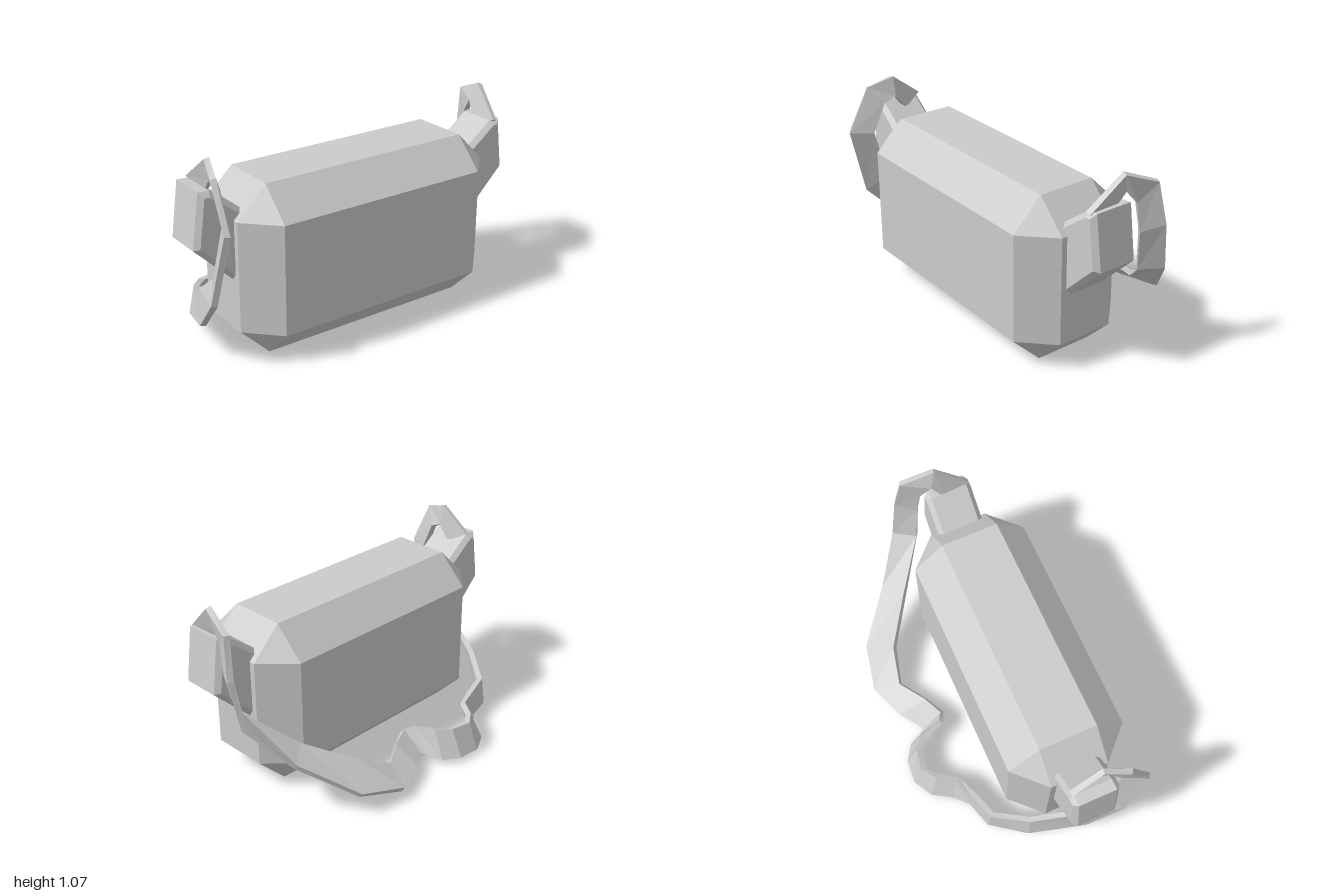
import * as THREE from 'three';
import { ConvexGeometry } from 'three/addons/geometries/ConvexGeometry.js';

const material = new THREE.MeshStandardMaterial({ color: 0xcccccc, flatShading: true });

function addMesh(parent, geometry, name) {
  const mesh = new THREE.Mesh(geometry, material);
  mesh.name = name;
  parent.add(mesh);
  return mesh;
}

// Box with every edge and corner cut at 45 degrees, standing on y = 0
function chamferedBox(hx, hy, hz, cut) {
  const points = [];
  for (const sx of [-1, 1]) for (const sy of [-1, 1]) for (const sz of [-1, 1]) {
    for (let axis = 0; axis < 3; axis++) {
      const p = [hx, hy, hz].map((h, i) => (i === axis ? h : h - cut));
      points.push(new THREE.Vector3(sx * p[0], hy + sy * p[1], sz * p[2]));
    }
  }
  return new ConvexGeometry(points);
}

// End pouch: side profile extruded across the bag with a single bevel
function pouchGeometry() {
  const profile = [[0.62, 0.72], [0.87, 0.91], [0.93, 0.915], [0.968, 0.63], [0.76, 0.425], [0.66, 0.425]];
  const shape = new THREE.Shape(profile.map(([x, y]) => new THREE.Vector2(x, y)));
  const bevel = 0.025, width = 0.25;
  const geometry = new THREE.ExtrudeGeometry(shape, {
    depth: width - 2 * bevel, bevelEnabled: true, bevelSegments: 1,
    bevelSize: bevel, bevelThickness: bevel, bevelOffset: -bevel,
  });
  return geometry.translate(0, 0, bevel - width / 2);
}

// Flat band lofted through rows of [inner edge xyz, outer edge xyz]
function bandGeometry(rows, thickness) {
  const edges = rows.map((r) => [new THREE.Vector3(...r.slice(0, 3)), new THREE.Vector3(...r.slice(3))]);
  const mids = edges.map(([a, b]) => a.clone().add(b).multiplyScalar(0.5));
  const positions = [], index = [];
  const last = rows.length - 1;
  edges.forEach(([a, b], i) => {
    const tangent = mids[Math.min(i + 1, last)].clone().sub(mids[Math.max(i - 1, 0)]);
    const n = tangent.cross(b.clone().sub(a)).setLength(thickness / 2);
    for (const [edge, side] of [[a, 1], [b, 1], [b, -1], [a, -1]]) {
      positions.push(...edge.clone().addScaledVector(n, side).toArray());
    }
    if (i === last) return;
    for (let k = 0; k < 4; k++) {
      const p = i * 4 + k, q = i * 4 + ((k + 1) % 4);
      index.push(p, p + 4, q, q, p + 4, q + 4);
    }
  });
  const e = last * 4;
  index.push(0, 1, 2, 0, 2, 3, e, e + 2, e + 1, e, e + 3, e + 2);
  const geometry = new THREE.BufferGeometry();
  geometry.setAttribute('position', new THREE.Float32BufferAttribute(positions, 3));
  geometry.setIndex(index);
  const flat = geometry.toNonIndexed();
  flat.computeVertexNormals();
  return flat;
}

// Strap: over the left pouch and down to the ground
const leftRun = [
  [0.82, 0.85, 0.32, 0.82, 0.91, 0.45],
  [0.87, 0.97, 0.25, 0.89, 1.07, 0.285],
  [0.90, 0.90, 0.20, 0.96, 1.00, 0.12],
  [0.91, 0.75, 0.18, 0.99, 0.78, 0.085],
  [0.88, 0.53, 0.14, 0.97, 0.53, 0.04],
  [0.70, 0.34, -0.07, 0.82, 0.30, -0.14],
  [0.50, 0.21, -0.28, 0.63, 0.12, -0.39],
  [0.33, 0.12, -0.36, 0.40, 0.06, -0.49],
];
// Strap: curl lying on the ground behind the bag
const groundRun = [
  [0.17, 0.12, -0.29, 0.20, 0.05, -0.45],
  [0.05, 0.14, -0.26, 0.06, 0.03, -0.38],
  [0.00, 0.16, -0.30, 0.03, 0.03, -0.40],
  [-0.02, 0.17, -0.42, 0.01, 0.02, -0.49],
  [-0.07, 0.17, -0.49, -0.06, 0.02, -0.555],
  [-0.17, 0.17, -0.53, -0.17, 0.02, -0.585],
  [-0.25, 0.17, -0.49, -0.28, 0.02, -0.55],
  [-0.33, 0.17, -0.41, -0.36, 0.02, -0.46],
  [-0.45, 0.17, -0.385, -0.45, 0.03, -0.40],
  [-0.60, 0.18, -0.365, -0.60, 0.03, -0.385],
];
// Strap: up and over the right pouch
const rightRun = [
  [-0.75, 0.25, -0.22, -0.77, 0.09, -0.24],
  [-0.85, 0.33, -0.05, -0.92, 0.18, 0.03],
  [-0.90, 0.46, 0.12, -0.99, 0.38, 0.21],
  [-0.90, 0.75, 0.20, -0.98, 0.76, 0.31],
  [-0.88, 0.91, 0.13, -0.95, 1.00, 0.19],
  [-0.86, 0.94, 0.07, -0.88, 1.05, 0.065],
  [-0.85, 0.86, 0.01, -0.86, 0.92, -0.10],
];

export function createModel() {
  const model = new THREE.Group();
  model.name = 'shoulderBag';

  // Body and pouches share a slight turn about the vertical
  const bag = new THREE.Group();
  bag.name = 'bag';
  bag.position.set(-0.035, 0, 0.17);
  bag.rotation.y = -0.184;
  model.add(bag);
  addMesh(bag, chamferedBox(0.76, 0.45, 0.315, 0.16), 'body');

  const pouch = pouchGeometry();
  addMesh(bag, pouch, 'leftPouch');
  addMesh(bag, pouch, 'rightPouch').rotation.y = Math.PI;

  addMesh(model, bandGeometry([...leftRun, ...groundRun, ...rightRun], 0.03), 'strap');
  return model;
}
